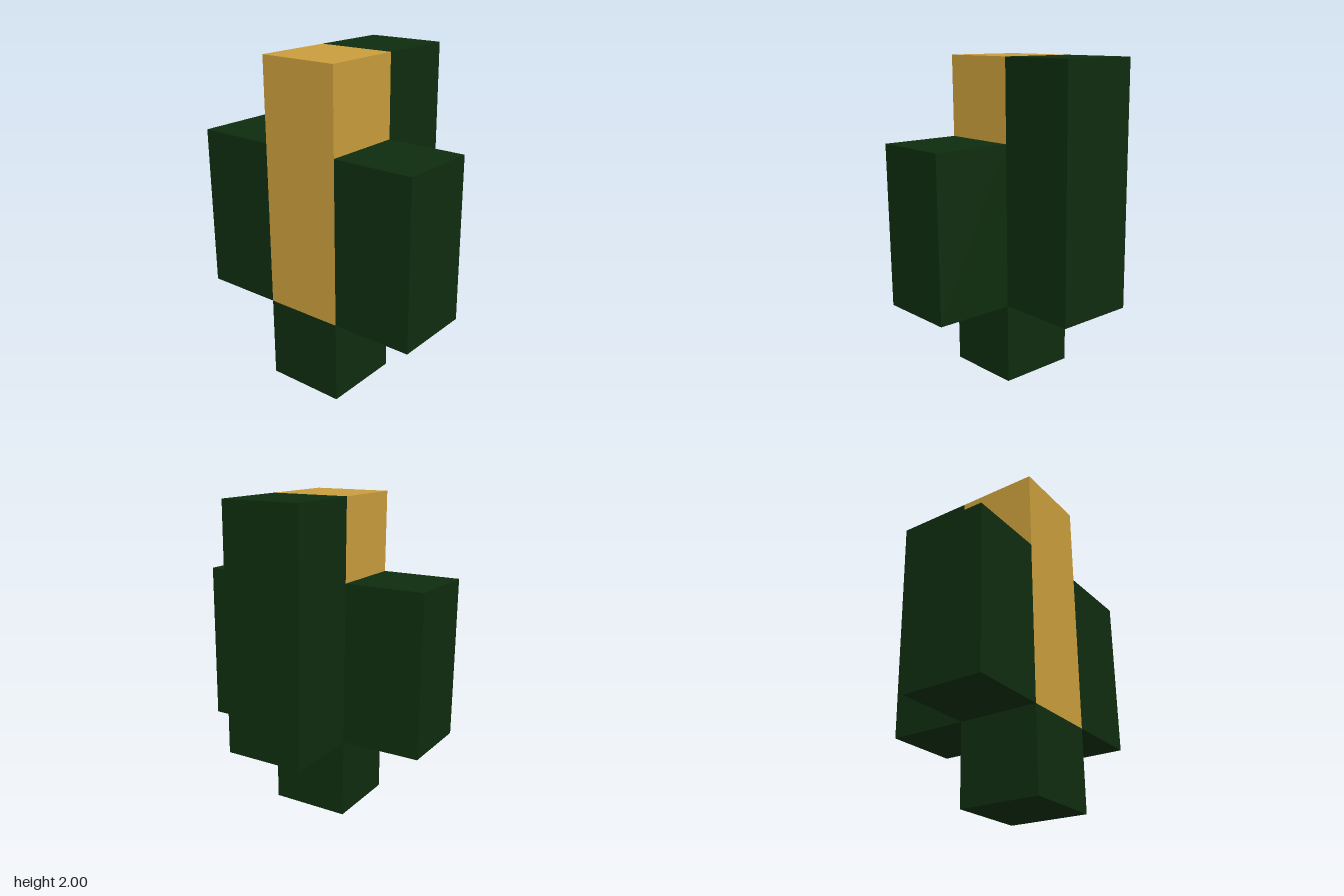
import * as THREE from 'three';

export function createModel() {
  const model = new THREE.Group();
  const green = new THREE.MeshStandardMaterial({ color: 0x0e2c0e });
  green.name = 'dark green';
  const gold = new THREE.MeshStandardMaterial({ color: 0xc89d3c });
  gold.name = 'gold';

  // Square 0.5 x 0.5 block, placed by its bottom height
  function block(name, material, height, x, bottom, z) {
    const mesh = new THREE.Mesh(new THREE.BoxGeometry(0.5, height, 0.5), material);
    mesh.name = name;
    mesh.position.set(x, bottom + height / 2, z);
    model.add(mesh);
  }

  // Central column on its foot
  block('foot', green, 0.5, 0, 0, 0.25);
  block('centralColumn', gold, 1.5, 0, 0.5, 0.25);

  // Tall column behind
  block('backColumn', green, 1.5, 0, 0.5, -0.25);

  // Shorter columns on both sides
  for (const [name, side] of [['leftColumn', 1], ['rightColumn', -1]]) {
    block(name, green, 1, side * 0.5, 0.5, 0.25);
  }

  return model;
}
